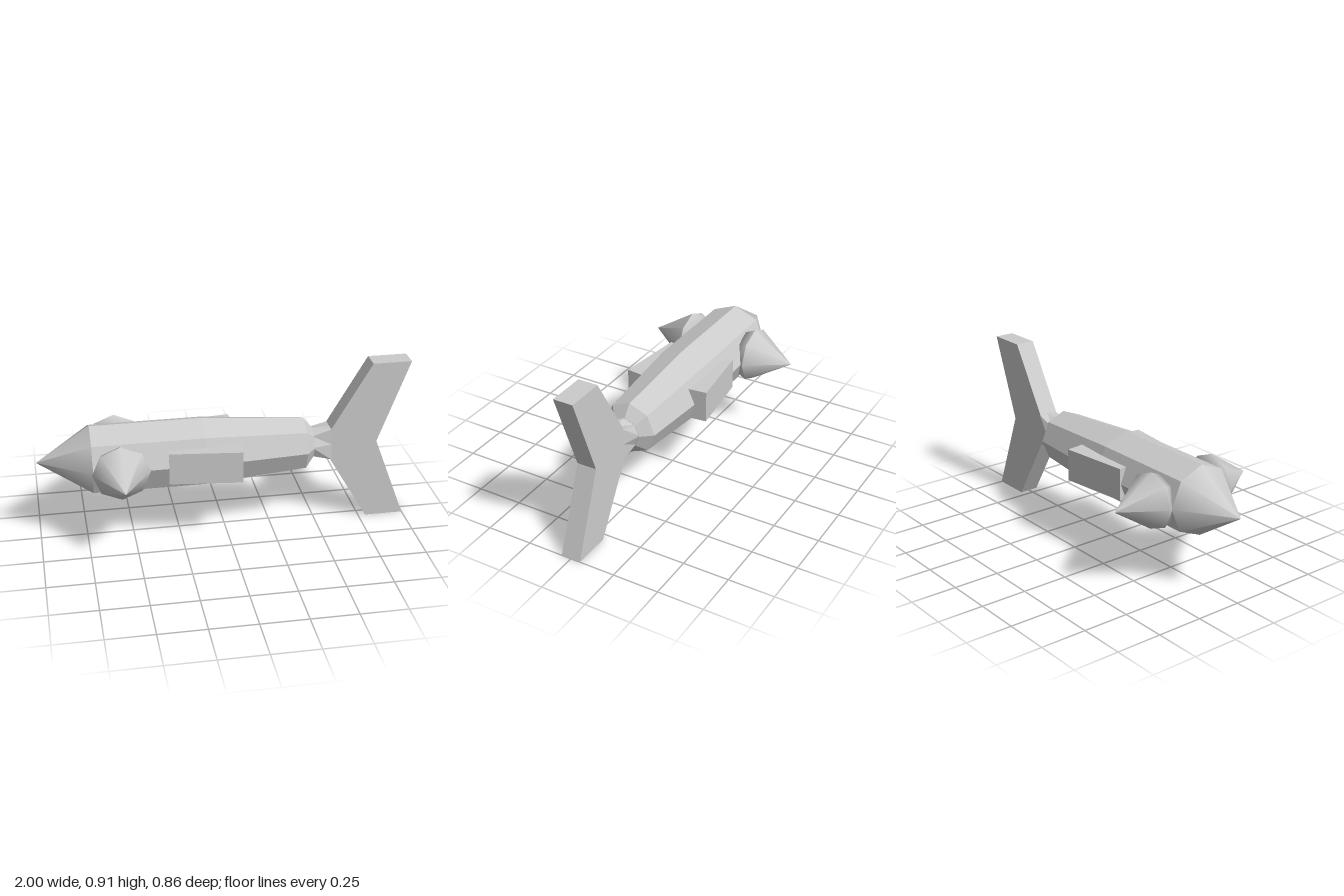
import * as THREE from 'three';

const AXIS_Y = 0.455;
const flat = new THREE.MeshStandardMaterial({ color: 0xcccccc, flatShading: true });
const smooth = new THREE.MeshStandardMaterial({ color: 0xcccccc });

// Eight-sided turned solid from [radius, height] points
function turned(points) {
  return new THREE.LatheGeometry(points.map(([r, h]) => new THREE.Vector2(r, h)), 8);
}

export function createModel() {
  const model = new THREE.Group();
  const add = (name, geometry, material = flat) => {
    const mesh = new THREE.Mesh(geometry, material);
    mesh.name = name;
    mesh.position.y = AXIS_Y;
    model.add(mesh);
    return mesh;
  };

  // Octagonal hull along x, tapering toward the tail
  add('hull', turned([
    [0, -0.77], [0.145, -0.77], [0.19, -0.715], [0.19, -0.12],
    [0.146, 0.43], [0.085, 0.48], [0, 0.48],
  ]).rotateZ(-Math.PI / 2));

  // Pointed nose
  add('nose', turned([[0.19, -0.715], [0, -1]].map(([r, h]) => [r, -h]))
    .rotateZ(Math.PI / 2), smooth);

  // Neck: octagon at the hull, squared off to meet the tail
  const neck = new THREE.CylinderGeometry(0.09, 0.083, 0.11, 8, 1).rotateZ(-Math.PI / 2);
  neck.translate(0.525, 0, 0);
  const p = neck.attributes.position;
  for (let i = 0; i < p.count; i++) {
    if (p.getX(i) < 0.55) continue;
    const snap = (v, half) => (Math.abs(v) > 0.01 ? Math.sign(v) * half : 0);
    p.setXYZ(i, p.getX(i), snap(p.getY(i), 0.09), snap(p.getZ(i), 0.054));
  }
  add('neck', neck);

  // Forked tail fin
  const tail = new THREE.Shape([
    [0.575, -0.09], [0.79, -0.455], [1, -0.455], [0.83, 0],
    [1, 0.455], [0.79, 0.455], [0.575, 0.09],
  ].map(([x, y]) => new THREE.Vector2(x, y)));
  add('tailFin', new THREE.ExtrudeGeometry(tail, { depth: 0.108, bevelEnabled: false })
    .translate(0, 0, -0.054));

  for (const side of [1, -1]) {
    const label = side > 0 ? 'front' : 'back';

    // Conical side pod
    const pod = add(label + 'Pod', turned([
      [0, 0.145], [0.127, 0.145], [0.152, 0.2], [0.152, 0.2], [0, 0.43],
    ]).rotateX(side * Math.PI / 2), smooth);
    pod.position.x = -0.57;

    // Side block, flaring outward toward the tail
    const block = add(label + 'Block', new THREE.BoxGeometry(0.385, 0.175, 0.1));
    block.position.set(-0.124, AXIS_Y, side * 0.168);
    block.rotation.y = -side * 0.115;
  }

  return model;
}
